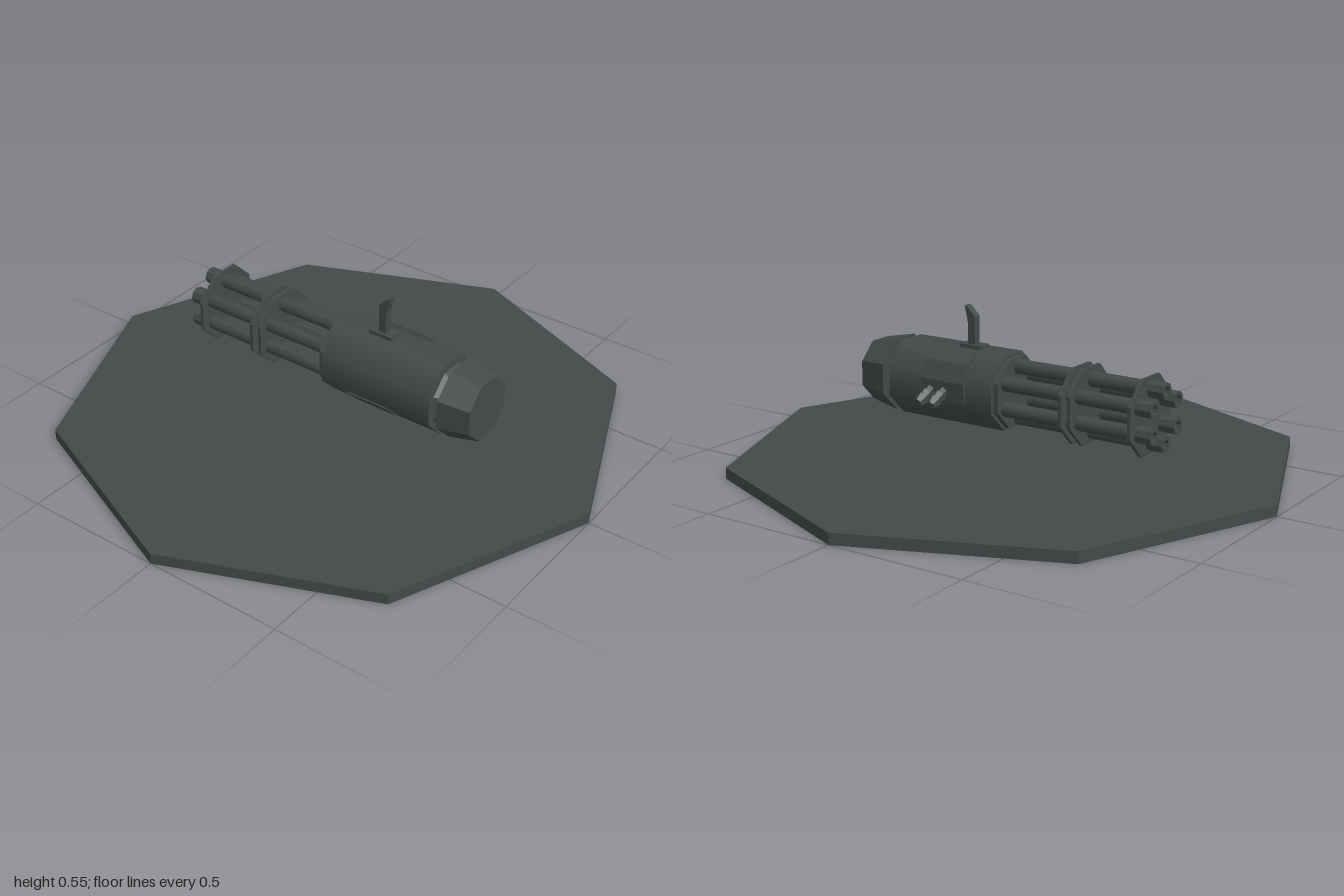
import * as THREE from 'three';

export function createModel() {
  const model = new THREE.Group();
  const metal = new THREE.MeshStandardMaterial({ color: 0x434a49 });
  metal.name = 'gunmetal';

  function add(parent, name, geometry, flat = false) {
    let g = geometry;
    if (flat) {
      g = geometry.index ? geometry.toNonIndexed() : geometry;
      g.computeVertexNormals();
    }
    const mesh = new THREE.Mesh(g, metal);
    mesh.name = name;
    parent.add(mesh);
    return mesh;
  }

  // Cylinder lying along x, from x0 (radius r0) to x1 (radius r1)
  function rod(x0, x1, r0, r1, sides) {
    return new THREE.CylinderGeometry(r1, r0, x1 - x0, sides)
      .rotateY(Math.PI / sides)
      .rotateZ(-Math.PI / 2)
      .translate((x0 + x1) / 2, 0, 0);
  }

  // Octagonal display base
  add(model, 'base', new THREE.CylinderGeometry(1, 1, 0.04, 8).translate(0, 0.02, 0), true);

  const gun = new THREE.Group();
  gun.name = 'rotaryGun';
  gun.position.set(0, 0.265, -0.02);
  model.add(gun);

  // Housing, front collar, rear neck and rear cap
  add(gun, 'housing', rod(0, 0.44, 0.142, 0.142, 8));
  add(gun, 'frontCollar', rod(-0.02, 0, 0.13, 0.13, 8), true);
  add(gun, 'rearNeck', rod(0.44, 0.455, 0.115, 0.1, 8), true);
  add(gun, 'rearNeckInner', rod(0.45, 0.48, 0.1, 0.1, 8), true);
  add(gun, 'rearCap', rod(0.47, 0.583, 0.14, 0.116, 8), true);

  // Ring plates that hold the barrels
  for (const x of [-0.54, -0.311, -0.275]) {
    add(gun, 'barrelPlate', rod(x - 0.006, x + 0.006, 0.142, 0.142, 8), true);
  }

  // Six barrels with hollow muzzles
  const muzzleProfile = [[0.017, 0.05], [0.017, 0], [0.03, 0], [0.03, 0.062]]
    .map(([r, y]) => new THREE.Vector2(r, y));
  for (let i = 0; i < 6; i++) {
    const a = Math.PI / 2 + (i * Math.PI) / 3;
    const barrel = new THREE.Group();
    barrel.name = 'barrel';
    barrel.position.set(0, Math.sin(a) * 0.09, Math.cos(a) * 0.09);
    add(barrel, 'barrelTube', rod(-0.56, 0, 0.026, 0.026, 8));
    const muzzle = new THREE.LatheGeometry(muzzleProfile.slice().reverse(), 8);
    muzzle.rotateZ(-Math.PI / 2).translate(-0.605, 0, 0);
    // Reverse the winding so the outside of the muzzle faces outward
    const index = muzzle.index.array;
    for (let k = 0; k < index.length; k += 3) {
      [index[k], index[k + 1]] = [index[k + 1], index[k]];
    }
    const mesh = add(barrel, 'muzzle', muzzle, true);
    mesh.material = metal;
    metal.side = THREE.DoubleSide;
    gun.add(barrel);
  }

  // Carrying handle with a slanted tip
  add(gun, 'handleFoot', new THREE.BoxGeometry(0.09, 0.02, 0.05).translate(0.165, 0.135, 0), true);
  const grip = new THREE.Shape([[0.15, 0.13], [0.18, 0.13], [0.18, 0.225], [0.193, 0.28], [0.182, 0.277], [0.15, 0.245]]
    .map(([x, y]) => new THREE.Vector2(x, y)));
  add(gun, 'handle', new THREE.ExtrudeGeometry(grip, { depth: 0.028, bevelEnabled: false }).translate(0, 0, -0.016), true);

  // Raised panel low on the front side
  const panel = add(gun, 'frontPanel', new THREE.BoxGeometry(0.17, 0.092, 0.02), true);
  panel.position.set(0.19, -0.083, 0.095);
  panel.rotation.x = Math.PI / 4;

  // Feed block on the back side
  const block = [[-0.07, 0.135], [-0.115, 0.098], [-0.14, 0.035], [-0.135, -0.04], [-0.1, -0.07], [0, 0]]
    .map(([z, y]) => new THREE.Vector2(-z, y));
  add(gun, 'feedBlock', new THREE.ExtrudeGeometry(new THREE.Shape(block), { depth: 0.18, bevelEnabled: false })
    .rotateY(Math.PI / 2).translate(0.11, 0, 0), true);

  // Two stepped connectors angled down from the feed block
  for (const x of [0.2, 0.255]) {
    const connector = new THREE.Group();
    connector.name = 'connector';
    connector.position.set(x, 0, -0.125);
    connector.rotation.x = -Math.PI / 2 - 0.43;
    for (const [y, h, r0, r1] of [[0, 0.035, 0.018, 0.018], [0.035, 0.025, 0.024, 0.016], [0.06, 0.03, 0.024, 0.016]]) {
      add(connector, 'connectorStep', new THREE.CylinderGeometry(r1, r0, h, 6).translate(0, y + h / 2, 0), true);
    }
    gun.add(connector);
  }

  return model;
}
